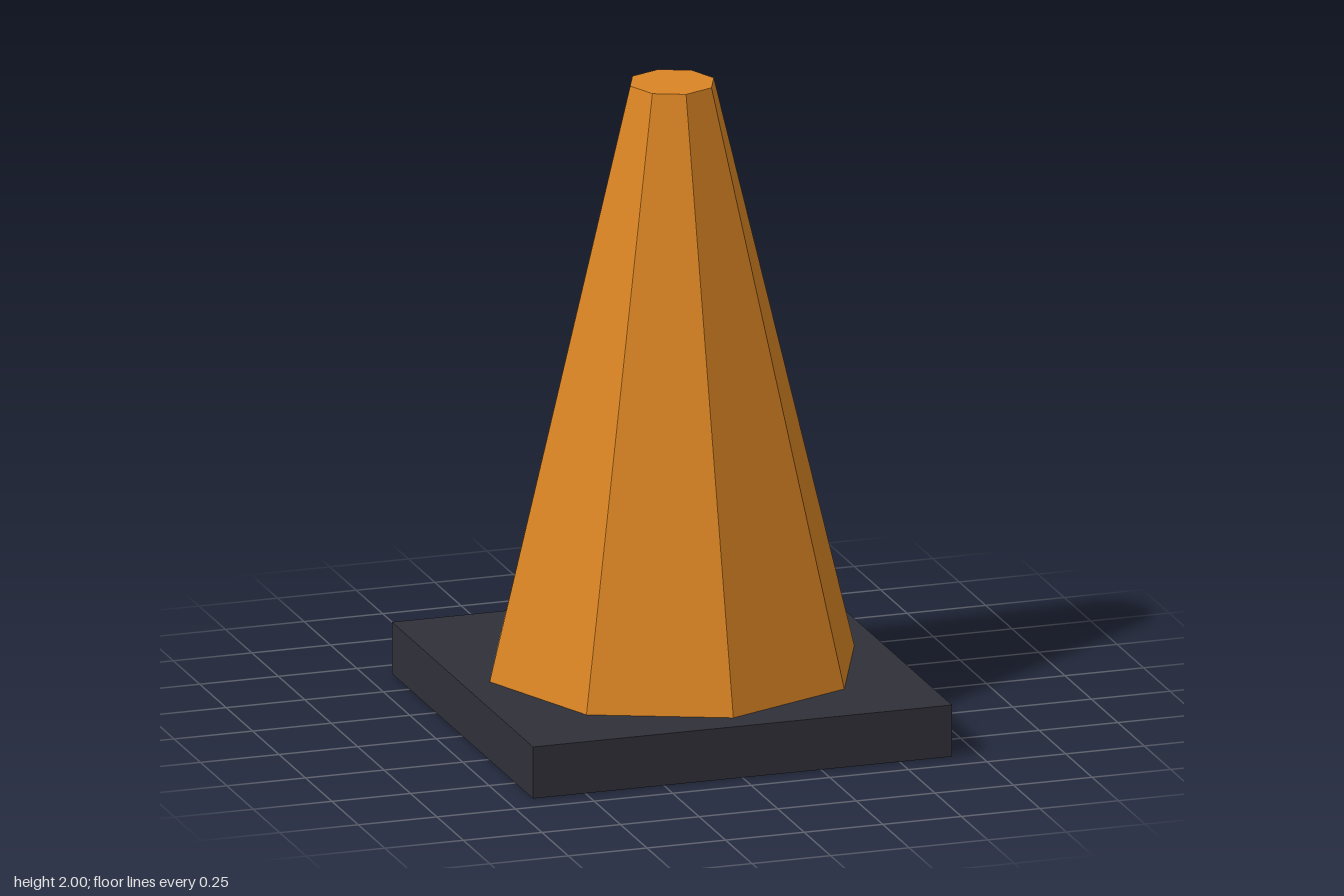
import * as THREE from 'three';

const BASE_SIZE = 1.333, BASE_HEIGHT = 0.163, TOTAL_HEIGHT = 2;

export function createModel() {
  const orange = new THREE.MeshStandardMaterial({ color: 0xda8524, flatShading: true });
  orange.name = 'orange';
  const charcoal = new THREE.MeshStandardMaterial({ color: 0x303039, flatShading: true });
  charcoal.name = 'charcoal';

  const model = new THREE.Group();
  model.name = 'trafficCone';

  // Square slab foot
  const base = new THREE.Mesh(new THREE.BoxGeometry(BASE_SIZE, BASE_HEIGHT, BASE_SIZE), charcoal);
  base.name = 'base';
  base.position.y = BASE_HEIGHT / 2;
  model.add(base);

  // Eight-sided tapered body with a flat top, corners on the x and z axes
  const height = TOTAL_HEIGHT - BASE_HEIGHT;
  const body = new THREE.Mesh(new THREE.CylinderGeometry(0.133, 0.58, height, 8), orange);
  body.name = 'coneBody';
  body.position.y = BASE_HEIGHT + height / 2;
  model.add(body);

  return model;
}
